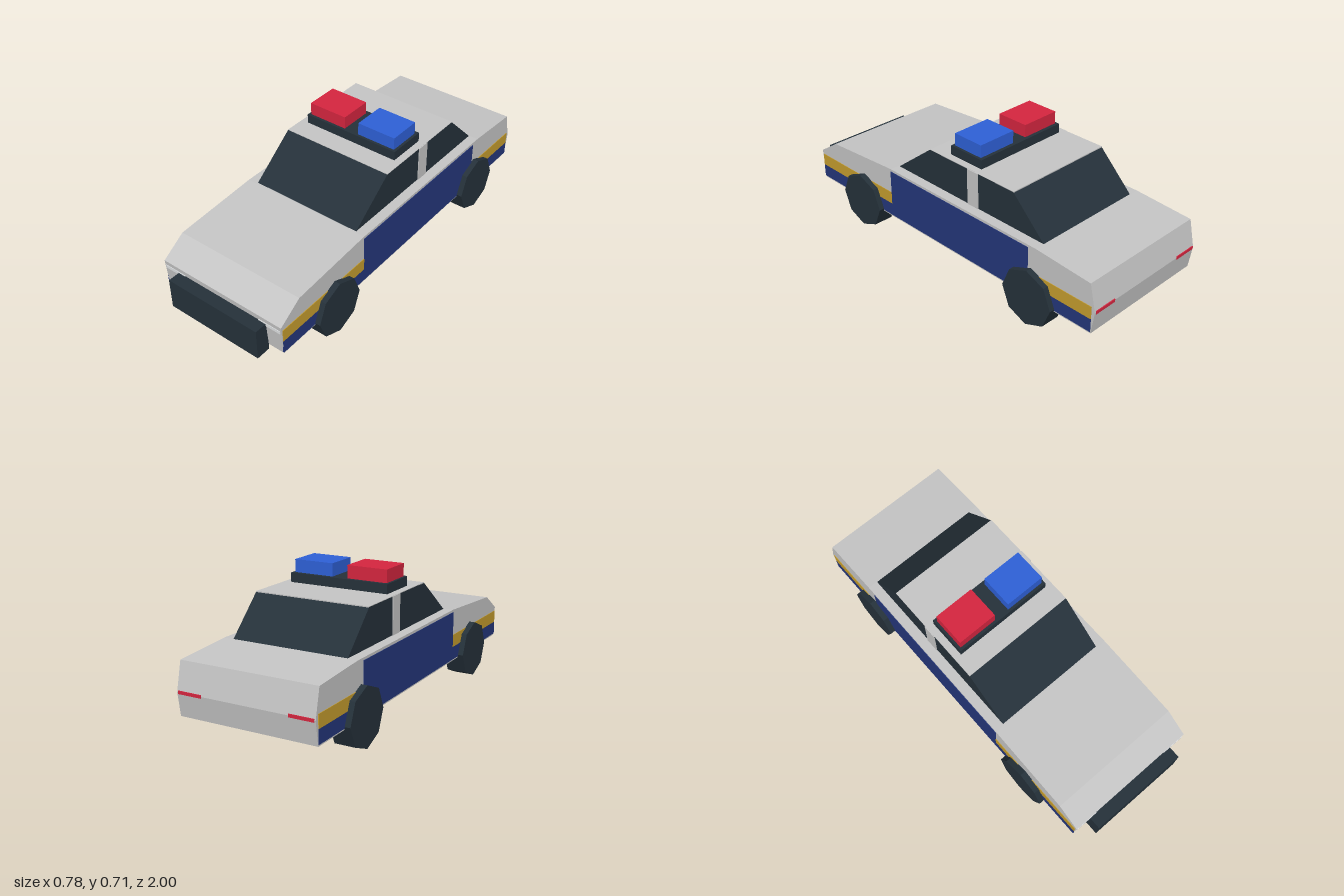
import * as THREE from 'three';

const mat = (name, color) => {
  const m = new THREE.MeshStandardMaterial({ color });
  m.name = name;
  return m;
};

export function createModel() {
  const silver = mat('silver paint', 0xc4c4c4);
  const dark = mat('dark glass and rubber', 0x25313a);
  const navy = mat('navy paint', 0x24367a);
  const gold = mat('gold stripe', 0xc49c2e);
  const red = mat('red lamp', 0xd4253f);
  const blue = mat('blue lamp', 0x2e60d6);
  const white = mat('headlight white', 0xdcdee0);

  const car = new THREE.Group();
  car.name = 'patrolCar';

  const add = (name, geometry, material, x = 0, y = 0, z = 0) => {
    const mesh = new THREE.Mesh(geometry, material);
    mesh.name = name;
    mesh.position.set(x, y, z);
    car.add(mesh);
    return mesh;
  };

  // Box given by its limits on each axis
  const box = (name, material, [x0, x1], [y0, y1], [z0, z1]) =>
    add(name, new THREE.BoxGeometry(x1 - x0, y1 - y0, z1 - z0), material,
      (x0 + x1) / 2, (y0 + y1) / 2, (z0 + z1) / 2);

  // Side profile in (z, y), extruded across the car
  const across = (name, material, profile, halfWidth) => {
    const shape = new THREE.Shape(profile.map(([z, y]) => new THREE.Vector2(z, y)));
    const g = new THREE.ExtrudeGeometry(shape, { depth: 2 * halfWidth, bevelEnabled: false });
    g.rotateY(-Math.PI / 2).translate(halfWidth, 0, 0);
    return add(name, g, material);
  };

  // Faceted drum lying along x, with a corner pointing down
  const drum = (radius, width, sides) => {
    const g = new THREE.CylinderGeometry(radius, radius, width, sides, 1, false, Math.PI / 2)
      .rotateZ(Math.PI / 2).toNonIndexed();
    g.computeVertexNormals();
    return g;
  };

  // Body shell
  across('body', silver, [
    [0.925, 0.133], [0.937, 0.295], [0.81, 0.379], [0.345, 0.411],
    [-0.652, 0.411], [-0.965, 0.39], [-0.997, 0.25], [-0.98, 0.133],
  ], 0.357);

  // Glazed cabin, roof skin and door pillars
  across('cabinGlass', dark, [[0.345, 0.405], [0.098, 0.597], [-0.46, 0.597], [-0.655, 0.405]], 0.305);
  box('roof', silver, [-0.305, 0.305], [0.595, 0.6], [-0.462, 0.097]);

  for (const s of [-1, 1]) {
    const side = s < 0 ? 'right' : 'left';
    const span = (a, b) => (s < 0 ? [-b, -a] : [a, b]);
    box(side + 'Pillar', silver, span(0.3, 0.309), [0.408, 0.599], [-0.235, -0.165]);

    // Painted side panels
    const skin = span(0.354, 0.36);
    box(side + 'DoorPanel', navy, skin, [0.141, 0.398], [-0.605, 0.345]);
    for (const [end, zs] of [['Front', [0.345, 0.928]], ['Rear', [-0.978, -0.605]]]) {
      box(side + end + 'Stripe', gold, skin, [0.21, 0.275], zs);
      box(side + end + 'Sill', navy, skin, [0.141, 0.21], zs);
    }

    // Wheels with hubs on the inner faces
    for (const [end, z] of [['Front', 0.565], ['Rear', -0.625]]) {
      add(side + end + 'Wheel', drum(0.148, 0.105, 8), dark, s * 0.336, 0.148, z);
      add(side + end + 'Hub', drum(0.08, 0.03, 6), silver, s * 0.287, 0.148, z);
    }

    // Head and tail lights
    box(side + 'Headlight', white, span(0.225, 0.35), [0.256, 0.272], [0.93, 0.938]);
    box(side + 'TailLight', red, span(0.225, 0.35), [0.243, 0.258], [-1, -0.992]);
  }

  // Push bumper
  box('pushBumper', dark, [-0.267, 0.267], [0.103, 0.267], [0.925, 1]);

  // Roof light bar
  box('lightBarBase', dark, [-0.267, 0.267], [0.598, 0.648], [-0.218, -0.012]);
  box('redBeacon', red, [-0.255, -0.042], [0.646, 0.713], [-0.2, -0.026]);
  box('blueBeacon', blue, [0.04, 0.253], [0.646, 0.713], [-0.2, -0.026]);

  return car;
}
